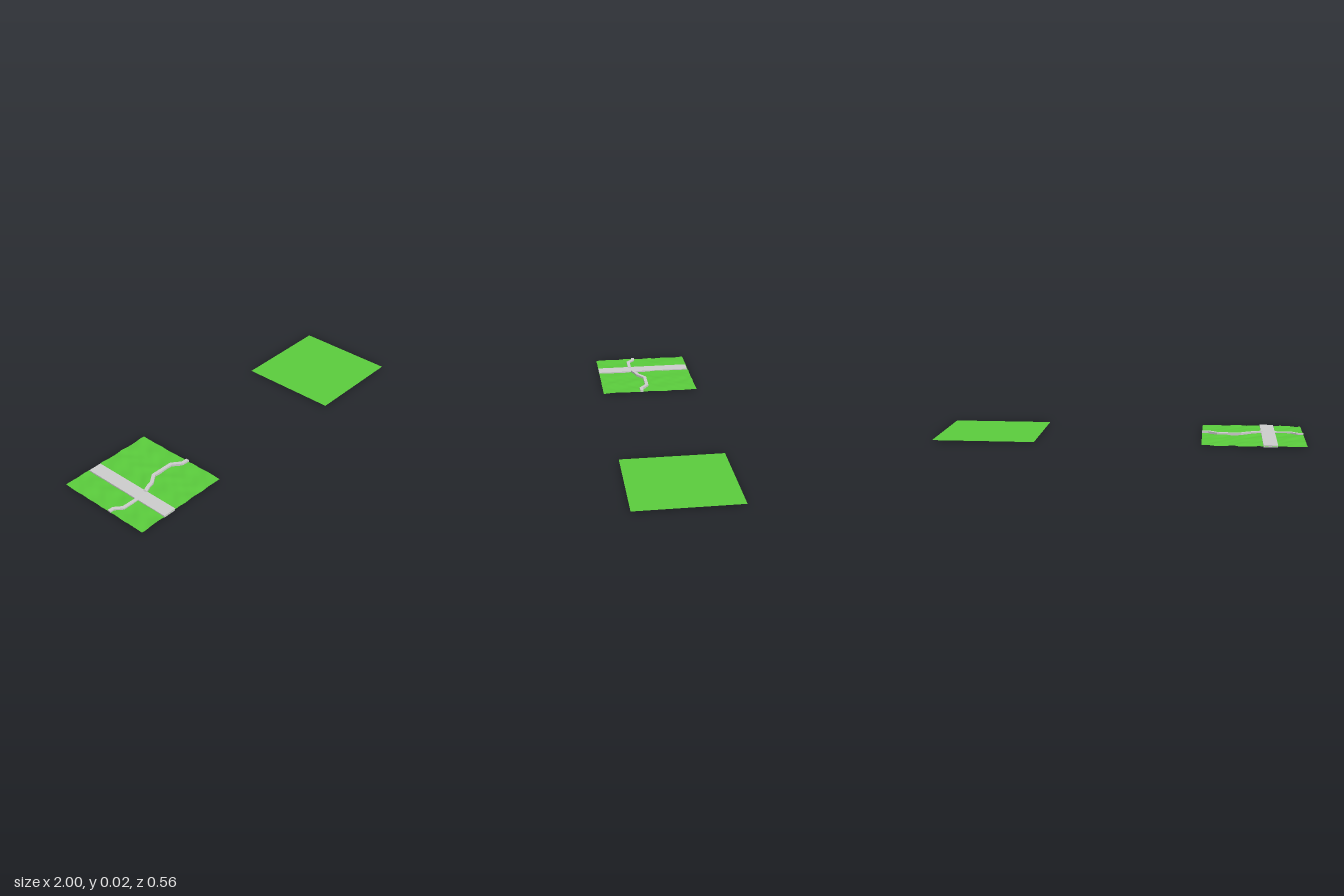
import * as THREE from 'three';

const SIZE = 0.555, CENTRE = 0.7225;
const green = new THREE.MeshStandardMaterial({ color: 0x5acb3c, side: THREE.DoubleSide });
const grey = new THREE.MeshStandardMaterial({ color: 0xcccccc, side: THREE.DoubleSide });

function add(group, name, geometry, material) {
  const mesh = new THREE.Mesh(geometry, material);
  mesh.name = name;
  group.add(mesh);
  return mesh;
}

// Square sheet lying flat
function sheet(segments) {
  return new THREE.PlaneGeometry(SIZE, SIZE, segments, segments).rotateX(-Math.PI / 2);
}

// Gentle bumps of the grass
function bump(x, z) {
  const a = Math.sin(47 * x + 13 * z + 2 * Math.sin(23 * z));
  const b = Math.sin(53 * z - 19 * x + 2 * Math.sin(29 * x));
  const c = Math.sin(91 * x + 77 * z);
  return 0.0055 + 0.0013 * a + 0.0013 * b + 0.0006 * c;
}

// Wall of rectangular section swept along points [x, z] with mitred corners
function sweptWall(points, width, bottom, top) {
  const pts = points.map(p => new THREE.Vector2(...p));
  const left = [], right = [];
  pts.forEach((p, i) => {
    const before = p.clone().sub(pts[Math.max(i - 1, 0)]).normalize();
    const after = pts[Math.min(i + 1, pts.length - 1)].clone().sub(p).normalize();
    const dir = before.clone().add(after).normalize();
    const ref = after.length() > 0 ? after : before;
    const reach = width / 2 / Math.max(dir.dot(ref), 0.5);
    const n = new THREE.Vector2(-dir.y, dir.x).multiplyScalar(reach);
    left.push(p.clone().add(n));
    right.unshift(p.clone().sub(n));
  });
  // Drawn with -z as the shape's y, then laid down
  const shape = new THREE.Shape([...left, ...right].map(p => new THREE.Vector2(p.x, -p.y)));
  const geometry = new THREE.ExtrudeGeometry(shape, { depth: top - bottom, bevelEnabled: false });
  return geometry.rotateX(-Math.PI / 2).translate(0, bottom, 0);
}

export function createModel() {
  const model = new THREE.Group();

  // Bumpy grass tile
  const terrain = sheet(40);
  const pos = terrain.attributes.position;
  for (let i = 0; i < pos.count; i++) pos.setY(i, bump(pos.getX(i), pos.getZ(i)));
  terrain.computeVertexNormals();
  add(model, 'grassTerrain', terrain, green).position.x = -CENTRE;

  // Flat grass tile
  add(model, 'flatGrass', sheet(1), green).position.set(CENTRE, 0.005, 0);

  // Straight road across the bumpy tile
  add(model, 'road', new THREE.BoxGeometry(0.076, 0.012, 0.548), grey).position.set(-0.808, 0.006, 0.003);

  // Winding path on either side of the road
  const west = [[-1, 0.045], [-0.972, 0.048], [-0.935, 0.08], [-0.84, 0.082]];
  const east = [[-0.775, 0.072], [-0.735, 0.054], [-0.705, 0.046], [-0.655, 0.009],
    [-0.53, 0.011], [-0.482, 0.05], [-0.445, 0.05]];
  add(model, 'westPath', sweptWall(west, 0.019, 0.004, 0.013), grey);
  add(model, 'eastPath', sweptWall(east, 0.019, 0.004, 0.017), grey);

  return model;
}
